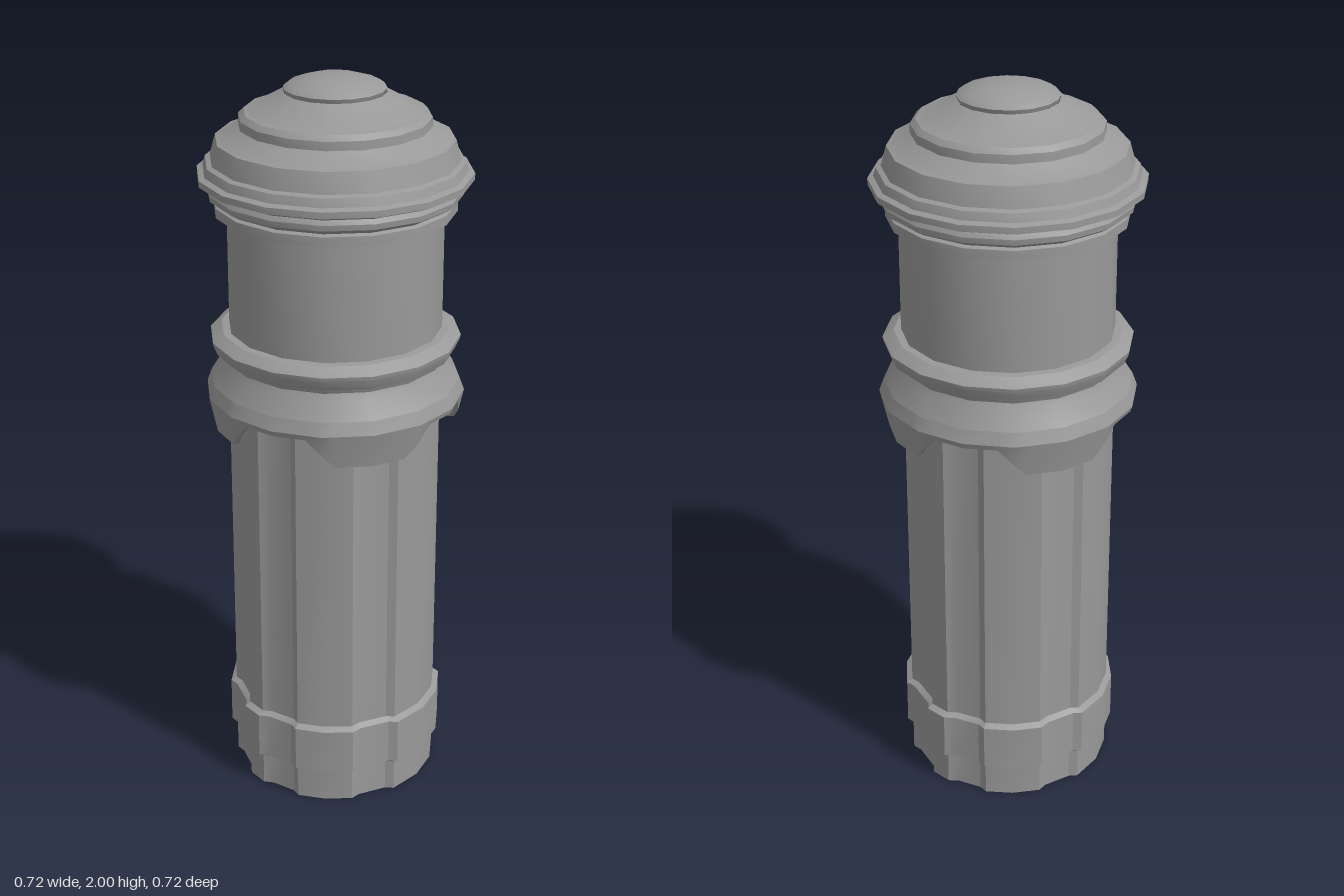
import * as THREE from 'three';
import { toCreasedNormals } from 'three/addons/utils/BufferGeometryUtils.js';

const SIDES = 16;
const STEP = 360 / SIDES;
const TURN = -STEP / 4; // the whole post is turned a quarter of a facet
const rad = THREE.MathUtils.degToRad;

const material = new THREE.MeshStandardMaterial({ color: 0x999999, side: THREE.DoubleSide });

function part(name, geometry) {
  const mesh = new THREE.Mesh(toCreasedNormals(geometry, 0.42), material);
  mesh.name = name;
  return mesh;
}

// Turned part from [radius, height] pairs, bottom to top
function turned(name, profile) {
  const points = profile.map(([r, y]) => new THREE.Vector2(r, y));
  return part(name, new THREE.LatheGeometry(points, SIDES, rad(TURN)));
}

// Closed rings joined from level to level; at(angle, level) gives [radius, height]
function rings(name, angles, levels, at) {
  const position = [];
  const index = [];
  const n = angles.length;
  levels.forEach((level) => angles.forEach((a) => {
    const [r, y] = at(a, level);
    position.push(r * Math.sin(rad(a)), y, r * Math.cos(rad(a)));
  }));
  for (let j = 0; j < levels.length - 1; j++) {
    for (let i = 0; i < n; i++) {
      const a = j * n + i;
      const b = j * n + (i + 1) % n;
      index.push(a, b, b + n, a, b + n, a + n);
    }
  }
  const geometry = new THREE.BufferGeometry();
  geometry.setAttribute('position', new THREE.Float32BufferAttribute(position, 3));
  geometry.setIndex(index);
  return part(name, geometry);
}

// Fluted hollow shaft with a raised band near the foot
function makeShaft() {
  const flutes = [[-23, 1], [32, 58], [117, 145]];
  const half = [];
  flutes.forEach(([from, to], i) => {
    half.push([from, 0.285], [from + 5, 0.27], [to - 4, 0.27], [to, 0.285]);
    // rounded land up to the next flute
    const next = i < 2 ? flutes[i + 1][0] : flutes[0][0] + 180;
    const pieces = Math.max(1, Math.round((next - to) / 20));
    for (let k = 1; k < pieces; k++) half.push([to + (next - to) * k / pieces, 0.285]);
  });
  const section = new Map();
  [0, 180].forEach((turn) => half.forEach(([a, r]) => section.set(a + turn, r)));
  const levels = [[0, 1], [0.09, 1], [0.1, 1.055], [0.23, 1.055], [0.24, 1], [1.2, 1]];
  return rings('flutedShaft', [...section.keys()], levels, (a, [y, s]) => [section.get(a) * s, y]);
}

// Skirt of the collar with four hanging tabs
function makeSkirt() {
  const offsets = [-45, -28, -22.5, -15, 0, 15, 22.5, 28];
  const angles = [];
  for (let q = 0; q < 4; q++) offsets.forEach((o) => angles.push(TURN + q * 90 + o));
  const facet = (a) => {
    const within = (((a - TURN) % STEP) + STEP) % STEP;
    return Math.cos(rad(STEP / 2)) / Math.cos(rad(within - STEP / 2));
  };
  const drop = (a) => {
    const local = (((a - TURN + 45) % 90) + 90) % 90 - 45;
    return THREE.MathUtils.clamp((Math.abs(local) - 15) / 13, 0, 1);
  };
  // [radius, height, taper], where a null height follows the hem
  const levels = [
    [0.275, 1.13, 0], [0.312, 1.135, 0], [0.325, null, 0.015], [0.343, null, 0.015],
    [0.348, 1.15, 0], [0.335, 1.185, 0],
  ];
  return rings('collarSkirt', angles, levels, (a, [r, y, taper]) => [
    (r - taper * drop(a)) * facet(a), y ?? 1.135 - 0.08 * drop(a),
  ]);
}

export function createModel() {
  const model = new THREE.Group();
  model.name = 'bollard';

  model.add(makeShaft(), makeSkirt());

  model.add(turned('collar', [
    [0.335, 1.185], [0.303, 1.235], [0.297, 1.25], [0.302, 1.262],
    [0.322, 1.272], [0.333, 1.297], [0.335, 1.308], [0.305, 1.328], [0.28, 1.33],
  ]));

  model.add(turned('neck', [[0.285, 1.2], [0.285, 1.68]]));

  // Stepped mouldings under and over the cap's widest rim
  model.add(turned('cap', [
    [0.28, 1.65], [0.318, 1.65], [0.318, 1.675], [0.308, 1.68], [0.333, 1.695],
    [0.335, 1.71], [0.328, 1.722], [0.36, 1.735], [0.36, 1.752], [0.345, 1.758],
    [0.338, 1.78], [0.325, 1.785], [0.31, 1.838], [0.295, 1.842], [0.25, 1.872],
    [0.249, 1.895], [0.235, 1.908], [0.218, 1.911], [0.133, 1.958],
  ]));

  model.add(turned('topKnob', [
    [0.128, 1.955], [0.133, 1.968], [0.118, 1.979], [0.07, 1.994], [0, 2],
  ]));

  return model;
}
